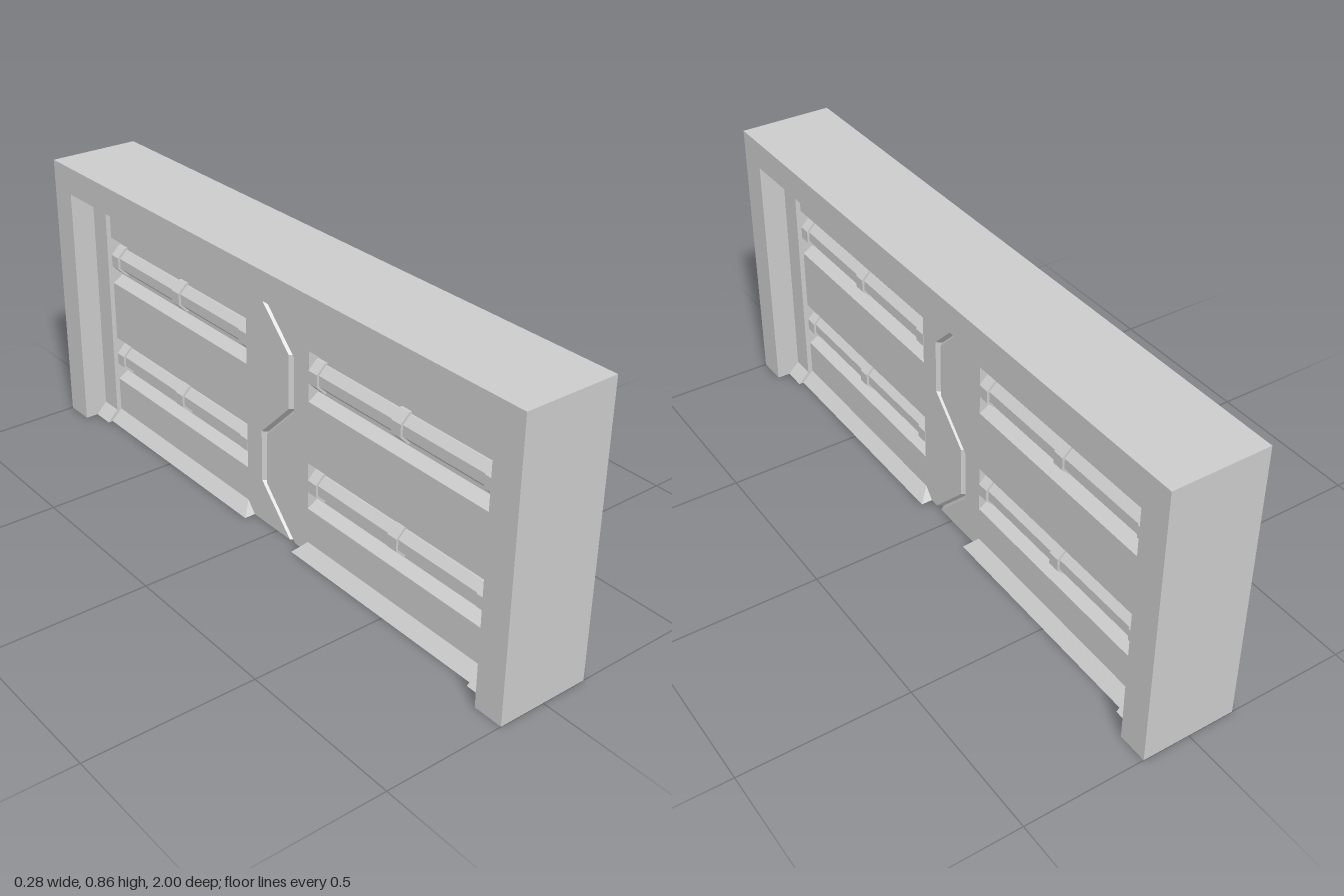
import * as THREE from 'three';

const H = 0.855, W = 0.142;         // frame height, half thickness
const OPEN_Z = 0.91, OPEN_Y = 0.77; // doorway half width and height
const LEAF = 0.052;                 // half thickness of the door leaves
const STRIP = 0.067;                // half thickness of the side strips
const IN = 0.14, OUT = 0.84;        // z range of the panelled field
const SLOTS = [0.2175, 0.555];      // heights of the pipe slots
const SEAM = [[-0.06, OPEN_Y], [-0.06, 0.71], [0.065, 0.585], [0.065, 0.42], [-0.06, 0.295], [-0.06, 0.135], [0.07, 0]];

const material = new THREE.MeshStandardMaterial({ color: 0xcccccc, flatShading: true });

function add(parent, name, geometry) {
  const mesh = new THREE.Mesh(geometry, material);
  mesh.name = name;
  parent.add(mesh);
  return mesh;
}

const shapeOf = (points) => new THREE.Shape(points.map(([a, b]) => new THREE.Vector2(a, b)));

// (x, y) profile run along z between two values
function alongZ(points, z0, z1) {
  const geometry = new THREE.ExtrudeGeometry(shapeOf(points), { depth: Math.abs(z1 - z0), bevelEnabled: false });
  return geometry.translate(0, 0, Math.min(z0, z1));
}

function box(parent, name, halfX, y0, y1, z0, z1) {
  const geometry = new THREE.BoxGeometry(2 * halfX, y1 - y0, Math.abs(z1 - z0));
  add(parent, name, geometry.translate(0, (y0 + y1) / 2, (z0 + z1) / 2));
}

// Centre of a leaf: zigzag edge, chamfered on both faces along the seam
function seamPanel(s) {
  const points = [...SEAM, [s * IN, 0], [s * IN, OPEN_Y]];
  const geometry = new THREE.ExtrudeGeometry(shapeOf(points), { depth: 3, steps: 3, bevelEnabled: false });
  geometry.rotateY(-Math.PI / 2);
  const layers = [LEAF, LEAF - 0.015, 0.015 - LEAF, -LEAF];
  const p = geometry.attributes.position;
  for (let i = 0; i < p.count; i++) {
    const layer = Math.round(-p.getX(i));
    const outer = layer === 0 || layer === 3;
    if (outer && Math.abs(p.getZ(i)) < 0.1) p.setZ(i, p.getZ(i) + s * 0.012);
    p.setX(i, layers[layer]);
  }
  geometry.computeVertexNormals();
  return geometry;
}

// Sloped sill or header trim; its inner end reaches further at the wide edge
function trim(s, top, half, z0, z1, skew) {
  const wide = top ? OPEN_Y : 0, narrow = top ? OPEN_Y - 0.035 : 0.035;
  const out = half + 0.035;
  const geometry = alongZ([[-out, wide], [out, wide], [half, narrow], [-half, narrow]], s * z0, s * z1);
  const p = geometry.attributes.position;
  for (let i = 0; i < p.count; i++) {
    const inner = Math.abs(p.getZ(i) - s * z0) < 1e-4;
    if (inner && Math.abs(p.getY(i) - wide) < 1e-4) p.setZ(i, s * (z0 - skew));
  }
  geometry.computeVertexNormals();
  return geometry;
}

// Octagonal bar along z with a flat front
function octagon(apothem, length) {
  const geometry = new THREE.CylinderGeometry(apothem / Math.cos(Math.PI / 8), apothem / Math.cos(Math.PI / 8), length, 8);
  return geometry.rotateY(Math.PI / 8).rotateX(Math.PI / 2);
}

function doorLeaf(s) {
  const leaf = new THREE.Group();
  leaf.name = s > 0 ? 'frontLeaf' : 'backLeaf';
  add(leaf, 'seamPanel', seamPanel(s));

  // Horizontal panels between the slots, with sloped slot edges
  const edges = [0, 0.145, 0.29, 0.48, 0.63, OPEN_Y];
  for (let i = 0; i < 6; i += 2) {
    const a = edges[i], b = edges[i + 1];
    const lowIn = i > 0 ? a - 0.02 : a, highIn = i < 4 ? b + 0.02 : b;
    add(leaf, 'panel', alongZ([
      [LEAF, a], [LEAF, b], [0.02, highIn], [-0.02, highIn],
      [-LEAF, b], [-LEAF, a], [-0.02, lowIn], [0.02, lowIn],
    ], s * IN, s * OUT));
  }

  // Slot backs, pipes and clamps
  for (const y of SLOTS) {
    box(leaf, 'slotBack', 0.018, y - 0.08, y + 0.08, s * IN, s * OUT);
    for (const side of [-1, 1]) {
      const x = side * 0.008;
      add(leaf, 'pipe', octagon(0.038, OUT - IN)).position.set(x, y, s * (IN + OUT) / 2);
      for (const z of [0.158, 0.49, 0.822]) {
        add(leaf, 'pipeClamp', octagon(0.045, 0.036)).position.set(x, y, s * z);
      }
    }
  }

  // Side strip, sill and header trims
  box(leaf, 'sideStrip', STRIP, 0, OPEN_Y, s * OUT, s * OPEN_Z);
  for (const top of [false, true]) {
    const name = top ? 'headerTrim' : 'sillTrim';
    add(leaf, name, trim(s, top, LEAF, IN, OUT, 0.03));
    add(leaf, name + 'End', trim(s, top, STRIP, OUT, OPEN_Z, 0));
  }
  return leaf;
}

export function createModel() {
  const model = new THREE.Group();
  model.name = 'slidingDoor';

  // Frame around the doorway, open at the floor
  const frame = new THREE.ExtrudeGeometry(shapeOf([
    [-1, 0], [-OPEN_Z, 0], [-OPEN_Z, OPEN_Y], [OPEN_Z, OPEN_Y],
    [OPEN_Z, 0], [1, 0], [1, H], [-1, H],
  ]), { depth: 2 * W, bevelEnabled: false });
  add(model, 'frame', frame.translate(0, 0, -W).rotateY(-Math.PI / 2));

  for (const s of [-1, 1]) model.add(doorLeaf(s));
  return model;
}
